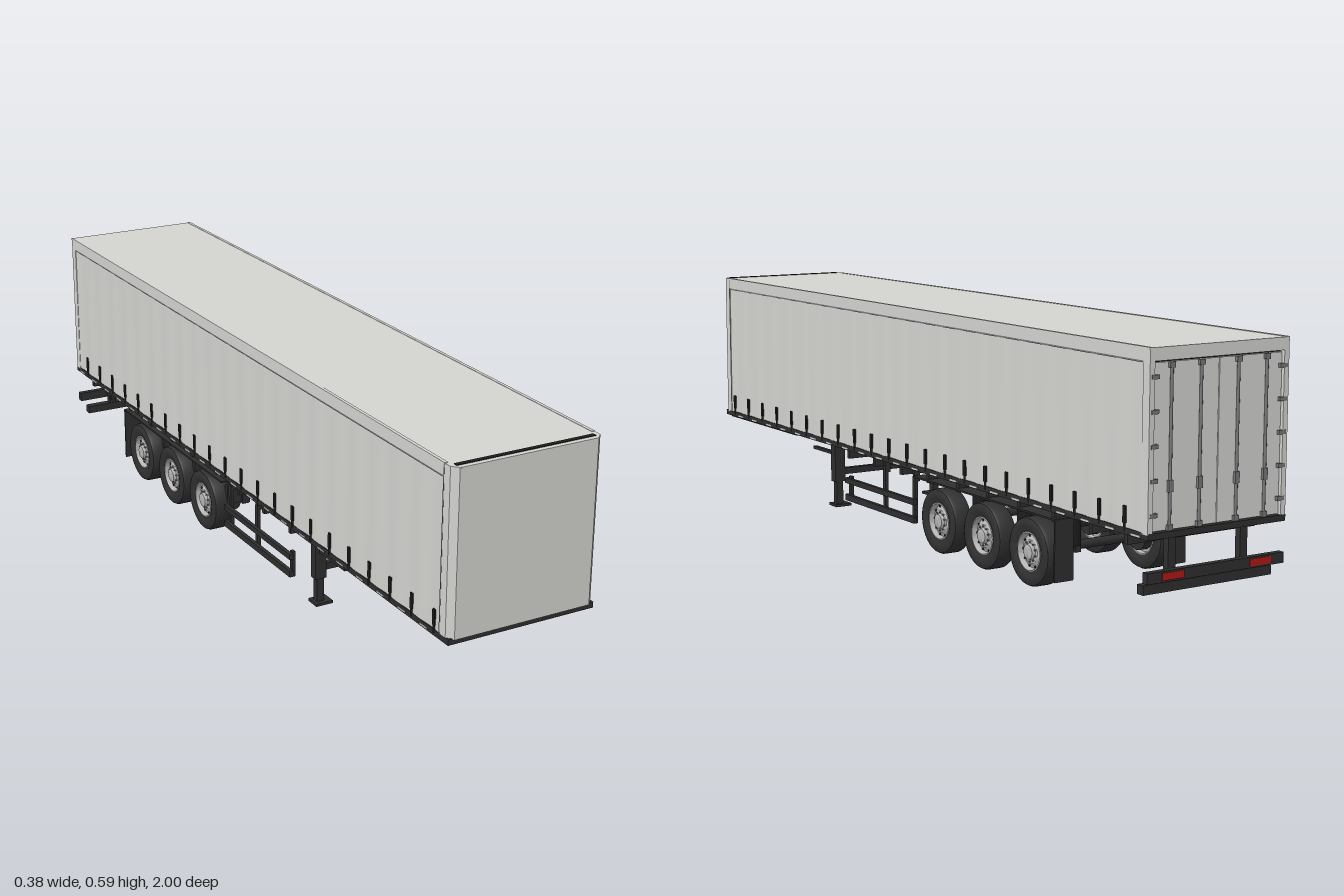
import * as THREE from 'three';
import { toCreasedNormals } from 'three/addons/utils/BufferGeometryUtils.js';

const mat = (name, color) => {
  const m = new THREE.MeshStandardMaterial({ color });
  m.name = name;
  return m;
};

export function createModel() {
  const shell = mat('light grey panels', 0xd3d3d0);
  const trim = mat('grey door fittings', 0x77777a);
  const frame = mat('charcoal chassis', 0x2e2e2f);
  const black = mat('black straps and seals', 0x1c1c1c);
  const rubber = mat('tyre rubber', 0x303030);
  const metal = mat('wheel metal', 0xb4b4b4);
  const red = mat('red lamps', 0xb01818);

  const model = new THREE.Group();
  model.name = 'curtainTrailer';
  const add = (name, geo, m, parent = model) => {
    const mesh = new THREE.Mesh(geo, m);
    mesh.name = name;
    parent.add(mesh);
    return mesh;
  };
  // Box given by its low and high limits on each axis
  const box = (name, m, [x0, x1], [y0, y1], [z0, z1], parent = model) => {
    const b = add(name, new THREE.BoxGeometry(x1 - x0, y1 - y0, z1 - z0), m, parent);
    b.position.set((x0 + x1) / 2, (y0 + y1) / 2, (z0 + z1) / 2);
    return b;
  };
  // Same box on both sides of the trailer
  const pair = (name, m, [x0, x1], y, z, parent = model) => {
    box(name + 'Left', m, [x0, x1], y, z, parent);
    box(name + 'Right', m, [-x1, -x0], y, z, parent);
  };
  const rod = (name, m, r, len, axis, x, y, z, parent = model) => {
    const c = add(name, new THREE.CylinderGeometry(r, r, len, 16), m, parent);
    if (axis === 'x') c.rotation.z = Math.PI / 2;
    if (axis === 'z') c.rotation.x = Math.PI / 2;
    c.position.set(x, y, z);
    return c;
  };

  // Front wall with chamfered corners
  const plan = new THREE.Shape();
  [[-0.187, -0.96], [-0.187, -0.985], [-0.173, -0.999], [0.173, -0.999], [0.187, -0.985], [0.187, -0.96]]
    .forEach(([x, y], i) => (i ? plan.lineTo(x, y) : plan.moveTo(x, y)));
  const wallGeo = new THREE.ExtrudeGeometry(plan, { depth: 0.388, bevelEnabled: false });
  wallGeo.rotateX(-Math.PI / 2);
  add('frontWall', wallGeo, shell).position.y = 0.2;
  box('frontRoofCap', shell, [-0.17, 0.17], [0.583, 0.588], [0.99, 1]);
  box('frontRoofSeal', black, [-0.174, 0.174], [0.586, 0.5895], [0.977, 0.988]);
  pair('frontPostSeam', trim, [0.1865, 0.1875], [0.203, 0.588], [0.96, 0.963]);

  // Roof and rear frame
  box('roof', shell, [-0.187, 0.187], [0.56, 0.588], [-0.998, 0.965]);
  pair('roofEdge', shell, [0.18, 0.188], [0.584, 0.589], [-0.998, 0.965]);
  pair('rearPost', shell, [0.174, 0.187], [0.2, 0.56], [-0.998, -0.975]);
  pair('curtainRail', trim, [0.183, 0.1868], [0.556, 0.56], [-0.975, 0.96]);

  // Gently pleated side curtains
  [-1, 1].forEach((s) => {
    const geo = new THREE.PlaneGeometry(1.94, 0.36, 176, 1);
    geo.rotateY((s * Math.PI) / 2);
    const p = geo.attributes.position;
    for (let i = 0; i < p.count; i++) {
      const slack = p.getY(i) < 0 ? 1 : 0.3;
      p.setX(i, s * 0.0012 * slack * Math.cos((p.getZ(i) * 2 * Math.PI) / 0.0885));
    }
    geo.computeVertexNormals();
    add('curtain' + (s > 0 ? 'Left' : 'Right'), geo, shell).position.set(s * 0.185, 0.38, -0.007);
  });

  // Curtain straps and buckles
  for (let i = 0; i < 22; i++) {
    const z = 0.94 - i * 0.0885;
    pair('strap', black, [0.184, 0.1885], [0.213, 0.25], [z - 0.0045, z + 0.0045]);
    pair('buckle', frame, [0.184, 0.1885], [0.195, 0.213], [z - 0.002, z + 0.002]);
    pair('railMarker', shell, [0.186, 0.1885], [0.1915, 0.1955], [z - 0.055, z - 0.025]);
  }

  // Rear doors with locking bars, handles and hinges
  pair('rearDoor', shell, [0.001, 0.172], [0.205, 0.556], [-0.992, -0.97]);
  box('doorBacking', black, [-0.175, 0.175], [0.2, 0.562], [-0.985, -0.965]);
  [-0.128, -0.05, 0.05, 0.128].forEach((x) => {
    rod('lockingBar', trim, 0.0035, 0.35, 'y', x, 0.38, -0.995);
    box('lockHandle', trim, [x - 0.006, x + 0.006], [0.285, 0.31], [-0.999, -0.991]);
    [0.21, 0.55].forEach((y) => box('lockKeeper', trim, [x - 0.007, x + 0.007], [y - 0.006, y + 0.006], [-0.999, -0.99]));
  });
  for (let i = 0; i < 5; i++) {
    const y = 0.235 + i * 0.072;
    pair('doorHinge', trim, [0.163, 0.182], [y, y + 0.009], [-0.9995, -0.99]);
  }

  // Floor, coupling plate and cross members
  box('floor', frame, [-0.187, 0.187], [0.189, 0.203], [-0.999, 0.996]);
  box('couplingPlate', frame, [-0.176, 0.176], [0.183, 0.19], [0.575, 0.985]);
  rod('kingpin', metal, 0.008, 0.014, 'y', 0, 0.176, 0.765);
  [0.285, 0.15, 0.015, -0.115, -0.25, -0.38, -0.51, -0.645, -0.785, -0.91].forEach((z) =>
    box('crossMember', frame, [-0.175, 0.175], [0.164, 0.19], [z - 0.006, z + 0.006]));

  // Landing legs
  box('landingCrossbar', frame, [-0.14, 0.14], [0.103, 0.12], [0.377, 0.392]);
  pair('landingLegUpper', frame, [0.136, 0.166], [0.085, 0.19], [0.374, 0.397]);
  pair('landingLegLower', frame, [0.141, 0.16], [0.024, 0.085], [0.377, 0.394]);
  pair('landingFoot', frame, [0.123, 0.168], [0.018, 0.025], [0.366, 0.405]);
  pair('landingBrace', frame, [0.145, 0.156], [0.154, 0.162], [0.39, 0.515]);

  // Side guards
  pair('guardRailUpper', frame, [0.17, 0.18], [0.098, 0.112], [-0.055, 0.295]);
  pair('guardRailLower', frame, [0.17, 0.18], [0.052, 0.068], [-0.055, 0.295]);
  [[0.285, 0.116], [0.105, 0.168], [-0.04, 0.168]].forEach(([z, top]) =>
    pair('guardPost', frame, [0.162, 0.171], [0.05, top], [z - 0.006, z + 0.006]));
  [0.105, -0.04].forEach((z) => pair('guardBracket', frame, [0.155, 0.171], [0.155, 0.19], [z - 0.004, z + 0.004]));

  // Wheel profiles: radius, offset along the axle
  const lathe = (pts) =>
    toCreasedNormals(new THREE.LatheGeometry(pts.map(([r, y]) => new THREE.Vector2(r, y)), 40), 0.6);
  const tyreGeo = lathe([[0.045, -0.021], [0.058, -0.027], [0.07, -0.0265], [0.077, -0.023], [0.08, -0.017],
    [0.08, 0.017], [0.077, 0.023], [0.07, 0.0265], [0.058, 0.027], [0.045, 0.021]]);
  const rimGeo = lathe([[0, -0.012], [0.04, -0.012], [0.043, -0.022], [0.046, -0.022], [0.046, 0.022],
    [0.043, 0.023], [0.039, 0.01], [0.033, 0.012], [0.027, 0.017], [0.019, 0.017], [0.017, 0.025], [0.012, 0.027], [0, 0.027]]);
  const nutGeo = new THREE.CylinderGeometry(0.002, 0.002, 0.006, 6);
  const holeGeo = new THREE.CylinderGeometry(0.0032, 0.0032, 0.002, 10);

  const makeWheel = (s, z) => {
    const wheel = new THREE.Group();
    wheel.name = 'wheel' + (s > 0 ? 'Left' : 'Right');
    add('tyre', tyreGeo, rubber, wheel);
    add('rim', rimGeo, metal, wheel);
    rod('brakeDrum', frame, 0.034, 0.025, 'y', 0, -0.022, 0, wheel);
    for (let i = 0; i < 10; i++) {
      const a = (i * Math.PI) / 5;
      add('wheelNut', nutGeo, trim, wheel).position.set(0.0225 * Math.cos(a), 0.018, 0.0225 * Math.sin(a));
      const b = a + Math.PI / 10;
      add('rimHole', holeGeo, black, wheel).position.set(0.036 * Math.cos(b), 0.0115, 0.036 * Math.sin(b));
    }
    wheel.rotation.z = (-s * Math.PI) / 2;
    wheel.position.set(s * 0.159, 0.08, z);
    model.add(wheel);
  };

  // Three axles with trailing arms, hangers and air springs
  [-0.175, -0.367, -0.56].forEach((z) => {
    [-1, 1].forEach((s) => {
      makeWheel(s, z);
      rod('airSpring', black, 0.018, 0.08, 'y', s * 0.098, 0.13, z - 0.055);
      rod('brakeChamber', frame, 0.015, 0.03, 'z', s * 0.118, 0.078, z + 0.045);
    });
    rod('axle', frame, 0.011, 0.27, 'x', 0, 0.08, z);
    pair('trailingArm', frame, [0.09, 0.106], [0.083, 0.098], [z - 0.075, z + 0.08]);
    pair('armHanger', frame, [0.086, 0.108], [0.085, 0.19], [z + 0.062, z + 0.082]);
    pair('wheelBracket', frame, [0.11, 0.15], [0.09, 0.14], [z + 0.066, z + 0.08]);
  });

  // Mudguards and flaps
  pair('mudguard', frame, [0.134, 0.185], [0.17, 0.174], [-0.665, -0.06]);
  pair('mudFlap', frame, [0.134, 0.185], [0.03, 0.172], [-0.667, -0.663]);

  // Rear underrun bar and lamp bar
  pair('underrunPost', frame, [0.088, 0.108], [0.068, 0.19], [-0.968, -0.952]);
  box('underrunBar', frame, [-0.175, 0.175], [0.066, 0.087], [-0.971, -0.95]);
  pair('lampBarArm', frame, [0.09, 0.106], [0.1, 0.115], [-0.985, -0.965]);
  box('lampBar', frame, [-0.186, 0.186], [0.096, 0.12], [-0.998, -0.982]);
  pair('rearLamp', red, [0.09, 0.148], [0.1, 0.116], [-1, -0.997]);
  return model;
}
